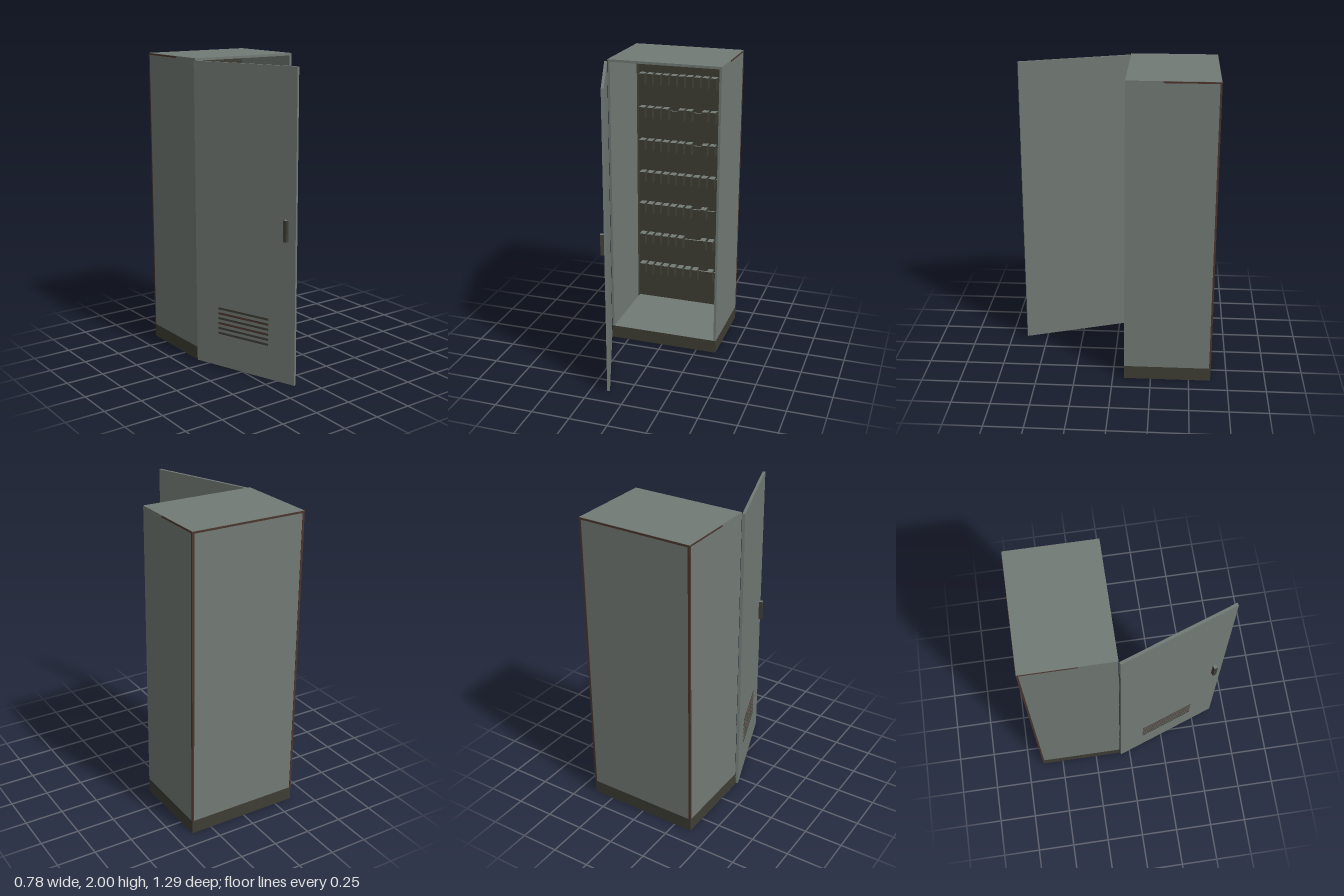
import * as THREE from 'three';

export function createModel() {
  const model = new THREE.Group();
  model.name = 'electricalCabinet';
  const mat = (name, color) => {
    const m = new THREE.MeshStandardMaterial({ color });
    m.name = name;
    return m;
  };
  const grey = mat('greyGreenSteel', 0x727a75);
  const dark = mat('darkOlive', 0x3e3d34);
  const rust = mat('rustBrown', 0x4c362e);
  const greyTop = [dark, dark, grey, dark, dark, dark];

  // Box given by its minimum and maximum corners
  const box = (parent, name, material, [x0, y0, z0], [x1, y1, z1]) => {
    const mesh = new THREE.Mesh(new THREE.BoxGeometry(x1 - x0, y1 - y0, z1 - z0), material);
    mesh.position.set((x0 + x1) / 2, (y0 + y1) / 2, (z0 + z1) / 2);
    mesh.name = name;
    parent.add(mesh);
    return mesh;
  };

  const L = -0.372, R = 0.388, B = -0.642, F = -0.075, T = 0.016, PLINTH = 0.09;

  // Shell
  box(model, 'plinth', greyTop, [L, 0, B], [R, PLINTH, F]);
  box(model, 'rightWall', grey, [L, PLINTH, B], [L + T, 2 - T, F]);
  box(model, 'leftWall', grey, [R - T, PLINTH, B], [R, 2 - T, F]);
  box(model, 'backWall', grey, [L + T, PLINTH, B], [R - T, 2 - T, B + 0.012]);
  box(model, 'roof', grey, [L, 2 - T, B], [R, 2, F]);

  // Worn seams around the back panel
  const e = 0.002;
  for (const [a, b] of [[L - e, L + 0.012], [R - 0.012, R + e]]) {
    box(model, 'rearSeam', rust, [a, PLINTH, B - e], [b, 1.998, B + 0.01]);
  }
  box(model, 'topSeam', rust, [L, 1.986, B - e], [R, 1.998, B + 0.004]);
  for (const x of [L, R]) {
    box(model, 'sideTopSeam', rust, [x - e, 1.988, B], [x + e, 1.998, -0.3]);
  }

  // Mounting plate and the dark inner corner
  box(model, 'mountingPlate', dark, [L + T, PLINTH, B + 0.012], [R - T, 1.94, B + 0.02]);
  box(model, 'innerCorner', dark, [L + T, PLINTH, B + 0.02], [L + T + 0.003, 1.94, B + 0.05]);

  // Rails with rows of modules; 1 marks an occupied slot
  const rows = ['111111111111', '111101101101', '111111101111', '111111111111',
    '111111101011', '111111001111', '111111110101'];
  const plateZ = B + 0.02;
  rows.forEach((row, i) => {
    const y = 1.77 - i * 0.2385;
    const rail = new THREE.Group();
    rail.name = 'moduleRow';
    model.add(rail);
    box(rail, 'rail', greyTop, [-0.345, y - 0.014, plateZ], [0.35, y + 0.014, plateZ + 0.015]);
    [...row].forEach((slot, j) => {
      if (slot === '0') return;
      const x = -0.308 + j * 0.0571;
      box(rail, 'module', greyTop, [x - 0.021, y - 0.04, plateZ + 0.01], [x + 0.021, y + 0.04, plateZ + 0.07]);
    });
  });

  // Open door: local x runs away from the hinge, local +z is the outer face
  const door = new THREE.Group();
  door.name = 'door';
  door.position.set(-0.381, 0, -0.069);
  door.rotation.y = -1.2266;
  model.add(door);
  box(door, 'doorPanel', grey, [0, 0.012, -0.009], [0.754, 1.988, 0.009]);
  box(door, 'handle', greyTop, [0.678, 0.935, 0.009], [0.702, 1.07, 0.034]);
  for (let i = 0; i < 6; i++) {
    const y = 0.241 + i * 0.0335;
    box(door, 'ventSlot', i === 2 || i === 4 ? rust : dark, [0.176, y - 0.007, 0.008], [0.56, y + 0.007, 0.0105]);
  }
  return model;
}
